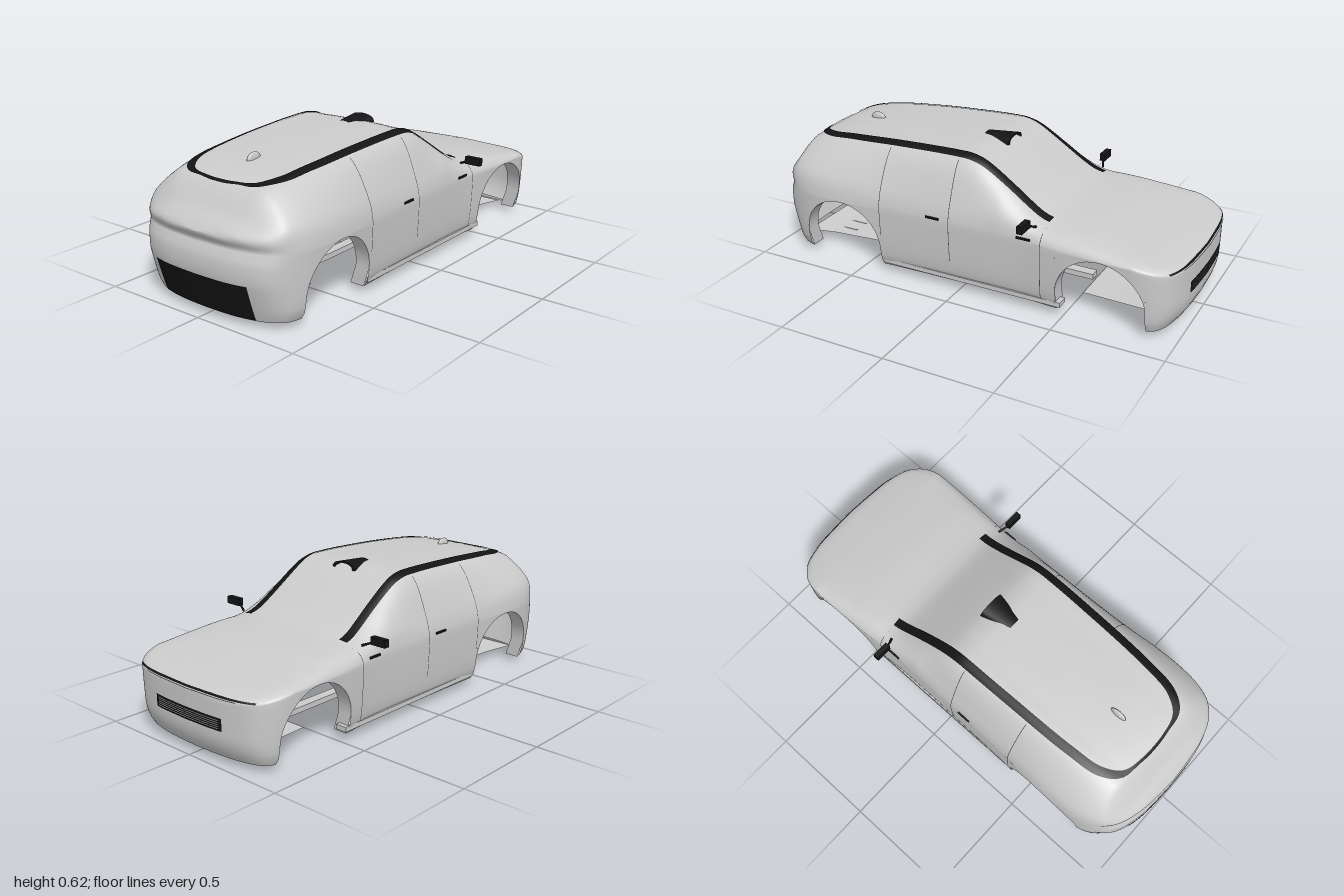
import * as THREE from 'three';
import { mergeVertices } from 'three/addons/utils/BufferGeometryUtils.js';

const GREY = 0xcccccc, BLACK = 0x141416;
const ARCHES = [-0.6, 0.67], R = 0.2, ARCH_Y = 0.115, FLOOR = 0.028;
const smooth = THREE.MathUtils.smoothstep;

// smooth value through [x, value] keys
function keyed(keys) {
  const slope = keys.map((k, i) => {
    const a = keys[Math.max(i - 1, 0)], b = keys[Math.min(i + 1, keys.length - 1)];
    return (b[1] - a[1]) / (b[0] - a[0]);
  });
  return x => {
    let i = 0;
    while (i < keys.length - 2 && x > keys[i + 1][0]) i++;
    const [x0, a] = keys[i], [x1, b] = keys[i + 1], h = x1 - x0;
    const t = THREE.MathUtils.clamp((x - x0) / h, 0, 1), u = 1 - t;
    return a * (1 + 2 * t) * u * u + slope[i] * h * t * u * u + b * t * t * (3 - 2 * t) - slope[i + 1] * h * t * t * u;
  };
}

// side outline, plan outline, shoulder line and lower side taper
const topY = keyed([[-1, 0.37], [-0.97, 0.405], [-0.93, 0.445], [-0.88, 0.508], [-0.84, 0.542], [-0.7, 0.573],
  [-0.5, 0.592], [-0.3, 0.604], [-0.02, 0.612], [0.05, 0.6], [0.1, 0.577], [0.2, 0.515], [0.3, 0.45], [0.36, 0.417],
  [0.43, 0.4], [0.6, 0.385], [0.8, 0.352], [0.95, 0.318], [0.985, 0.304], [1, 0.29]]);
const width = keyed([[-1, 0], [-0.996, 0.12], [-0.985, 0.21], [-0.96, 0.295], [-0.92, 0.352], [-0.85, 0.395],
  [-0.75, 0.42], [-0.6, 0.425], [-0.35, 0.41], [0, 0.402], [0.3, 0.4], [0.5, 0.412], [0.8, 0.42], [0.87, 0.408],
  [0.92, 0.38], [0.96, 0.328], [0.985, 0.235], [0.996, 0.13], [1, 0]]);
const roofW = keyed([[-1, 0.2], [-0.85, 0.25], [-0.6, 0.275], [-0.2, 0.288], [0.1, 0.292], [0.38, 0.31], [0.48, 0.35], [1, 0.36]]);
const lower = keyed([[0.02, 0.89], [0.05, 0.94], [0.1, 0.968], [0.2, 0.988], [0.32, 1]]);

// lower edge of the side, with the wheel openings
function bottomY(x) {
  for (const c of ARCHES) {
    const d = x - c;
    if (Math.abs(d) <= R + 1e-7) return ARCH_Y + Math.sqrt(Math.max(R * R - d * d, 0));
  }
  return FLOOR;
}

// half cross-section as [z, y] from the centre top down to a given height
function section(x, bottom = FLOOR) {
  const yt = topY(x), w = width(x), yw = Math.min(0.32, yt - 0.03);
  const wr = Math.min(roofW(x), w * 0.86), yb = Math.min(0.42, yw + (yt - yw) * 0.5);
  const pts = [[0, yt], [wr * 0.6, yt - 0.004], [wr, yt - Math.min(0.018, (yt - yw) * 0.3)],
    [w * 0.94, yb], [w * lower(yw), yw], [w * lower(0.2), 0.2]];
  const curve = new THREE.CatmullRomCurve3(pts.map(p => new THREE.Vector3(p[0], p[1], 0)));
  const out = [];
  for (let i = 0; i <= 24; i++) {
    const p = curve.getPoint(i / 30);
    out.push([p.x, p.y]);
  }
  for (let i = 1; i <= 10; i++) {
    const y = yw + (Math.min(bottom, yw) - yw) * i / 10;
    out.push([w * lower(y), y]);
  }
  return out;
}

// interpolate a section: k = 0 finds y from z, k = 1 finds z from y
function lookup(x, v, k) {
  const s = section(x), dir = k ? -1 : 1;
  for (let i = 1; i < s.length; i++) {
    if ((s[i][k] - v) * dir >= 0) {
      const a = s[i - 1], b = s[i], t = (v - a[k]) / (b[k] - a[k] || 1);
      return a[1 - k] + (b[1 - k] - a[1 - k]) * THREE.MathUtils.clamp(t, 0, 1);
    }
  }
  return s[s.length - 1][1 - k];
}
const roofY = (x, z) => lookup(x, Math.abs(z), 0);
const sideZ = (x, y) => lookup(x, y, 1);

// tuck in the bumpers and crease the tail
function bumperX(x, y) {
  const f = smooth(x, 0.87, 1), b = smooth(-x, 0.82, 1);
  return x - f * 0.035 * (Math.max(0.14 - y, 0) / 0.11) ** 2
    + b * (0.05 * Math.max(0.2 - y, 0) / 0.17 + 0.022 * Math.exp(-(((y - 0.325) / 0.03) ** 2)));
}
// x of the nose (end = 1) or tail (end = -1) surface at z, y
function endX(end, z, y) {
  let a = 0.8, b = 1;
  for (let i = 0; i < 18; i++) {
    const m = (a + b) / 2;
    if (sideZ(end * m, y) > Math.abs(z)) a = m; else b = m;
  }
  return bumperX(end * a, y);
}

// surface through rows of [x, y, z] points
function sheet(rows, skip = () => false) {
  const n = rows[0].length, index = [];
  for (let i = 0; i < rows.length - 1; i++) for (let j = 0; j < n - 1; j++) {
    if (skip(i, j)) continue;
    const a = i * n + j, b = a + n;
    index.push(a, b, a + 1, b, b + 1, a + 1);
  }
  let g = new THREE.BufferGeometry();
  g.setAttribute('position', new THREE.Float32BufferAttribute(rows.flat(2), 3));
  g.setIndex(index);
  g = mergeVertices(g, 1e-4);
  g.computeVertexNormals();
  return g;
}
const range = (n, f) => Array.from({ length: n + 1 }, (_, i) => f(i / n));

export function createModel() {
  const car = new THREE.Group();
  const mats = {};
  const add = (name, geo, color = GREY) => {
    mats[color] ??= new THREE.MeshStandardMaterial({ color, side: THREE.DoubleSide });
    const m = new THREE.Mesh(geo, mats[color]);
    m.name = name;
    car.add(m);
    return m;
  };
  const box = (name, size, pos, color) => add(name, new THREE.BoxGeometry(...size), color).position.set(...pos);

  // body shell, with stations placed on the wheel opening edges
  let xs = range(150, t => Math.sin((t - 0.5) * Math.PI)).filter(x => ARCHES.every(c => Math.abs(x - c) > R + 0.004));
  for (const c of ARCHES) {
    xs.push(c - R - 1e-5, c + R + 1e-5, ...range(40, t => c - R * Math.cos(t * Math.PI)));
  }
  xs.sort((a, b) => a - b);
  const rows = xs.map(x => {
    const half = section(x, bottomY(x)).map(([z, y]) => [bumperX(x, y), y, z]);
    return [...half.slice().reverse(), ...half.slice(1).map(([a, y, z]) => [a, y, -z])];
  });
  const last = rows[0].length - 1;
  add('bodyShell', sheet(rows, (i, j) => xs[i + 1] - xs[i] < 2e-5 && (j < 10 || j >= last - 10)));

  // black band along the roof sides and round the rear window
  const plan = [[0.4, 0.29], [0.2, 0.276], [-0.2, 0.27], [-0.6, 0.256], [-0.75, 0.235], [-0.825, 0.18], [-0.848, 0.08]];
  const path = new THREE.CatmullRomCurve3([...plan, [-0.853, 0], ...plan.slice().reverse().map(p => [p[0], -p[1]])]
    .map(p => new THREE.Vector3(p[0], 0, p[1])));
  add('roofBand', sheet(range(160, t => {
    const p = path.getPointAt(t), d = path.getTangentAt(t);
    const w = 0.006 + 0.014 * smooth(Math.abs(p.z), 0.1, 0.24);
    return range(5, s => {
      const x = p.x + d.z * w * (1 - 2 * s), z = p.z - d.x * w * (1 - 2 * s);
      return [x, roofY(x, z) + 0.005, z];
    });
  })), BLACK);

  // roof camera pod: a tapering arch
  add('roofPod', sheet(range(6, t => range(16, s => {
    const a = s * Math.PI, w = 0.04 + 0.025 * t;
    return [-0.06 + 0.14 * t, 0.592 + (0.024 + 0.009 * t) * Math.sin(a) ** 0.7, w * Math.cos(a)];
  }))), BLACK);
  add('roofPodFront', sheet(range(16, s => [1, 0.78].map(k =>
    [0.08, 0.592 + 0.033 * k * Math.sin(s * Math.PI) ** 0.7, 0.065 * k * Math.cos(s * Math.PI)]))), BLACK);

  // roof fin
  const fin = new THREE.SphereGeometry(1, 16, 8, 0, Math.PI * 2, 0, Math.PI / 2);
  const finMesh = add('roofFin', fin);
  finMesh.scale.set(0.04, 0.03, 0.012);
  finMesh.position.set(-0.65, 0.577, 0);

  for (const s of [1, -1]) {
    const side = s > 0 ? 'left' : 'right';
    // wheel opening liners
    ARCHES.forEach((c, k) => {
      const arc = range(36, t => [c - R * Math.cos(t * Math.PI), ARCH_Y + R * Math.sin(t * Math.PI)]);
      add(`${side}${k ? 'Front' : 'Rear'}ArchLiner`, sheet([[c - R, FLOOR], ...arc, [c + R, FLOOR]].map(([x, y]) => {
        const z = sideZ(x, y);
        return [[bumperX(x, y), y, s * z], [bumperX(x, y), y, s * (z - 0.07)]];
      })));
    });
    // mirror and its arm
    box(side + 'Mirror', [0.026, 0.034, 0.078], [0.342, 0.413, s * 0.441], BLACK);
    add(side + 'MirrorArm', new THREE.TubeGeometry(new THREE.LineCurve3(
      new THREE.Vector3(0.362, 0.385, s * 0.362), new THREE.Vector3(0.342, 0.405, s * 0.41)), 1, 0.005, 8), BLACK);
    // door handles
    for (const x of [-0.12, 0.32]) box(side + 'DoorHandle', [0.065, 0.009, 0.012], [x, 0.335, s * sideZ(x, 0.335)], BLACK);
    // door seams
    for (const [x, y0] of [[-0.39, 0.19], [-0.04, 0.14], [0.4, 0.05]]) {
      const y1 = topY(x) - 0.025;
      add(side + 'DoorSeam', sheet(range(24, t => [-1, 1].map(e => {
        const y = y0 + (y1 - y0) * t;
        return [x + e * 0.0015, y, s * (sideZ(x, y) + 0.0015)];
      }))), 0x444444);
    }
    // sill rail
    box(side + 'Sill', [0.88, 0.022, 0.055], [0.05, 0.055, s * 0.361]);
  }

  // patch that follows the nose or tail
  const patch = (name, end, w, y0, y1, color, lift) => add(name, sheet(range(30, t => range(8, u => {
    const z = w * (2 * t - 1), y = y0 + (y1 - y0) * u;
    return [endX(end, z, y) + end * lift, y, z];
  }))), color);
  patch('grille', 1, 0.2, 0.155, 0.21, BLACK, 0.003);
  for (let i = 0; i < 5; i++) patch('grilleSlat', 1, 0.183, 0.1645 + i * 0.0085, 0.1665 + i * 0.0085, GREY, 0.005);
  patch('bonnetGap', 1, 0.35, 0.294, 0.301, BLACK, 0.003);
  patch('frontLightStrip', 1, 0.27, 0.289, 0.292, GREY, 0.005);
  patch('rearBumperPanel', -1, 0.25, 0.032, 0.19, BLACK, 0.004);

  // undertrays and centre rail
  const tray = (name, list) => add(name, sheet(list.map(([x, y, w]) => [[x, y, w], [x, y, -w]])));
  tray('frontUndertray', [[0.5, 0.002, 0.155], [0.82, 0.002, 0.165], [0.93, 0.024, 0.25]]);
  tray('rearUndertray', [[-0.48, 0.01, 0.155], [-0.8, 0.012, 0.19], [-0.92, 0.03, 0.25]]);
  for (const z of [-0.12, -0.04, 0.04, 0.12]) box('undertrayRib', [0.1, 0.006, 0.008], [-0.78, 0.011, z]);
  box('centreRail', [0.88, 0.026, 0.05], [0.05, 0.013, 0]);

  return car;
}
